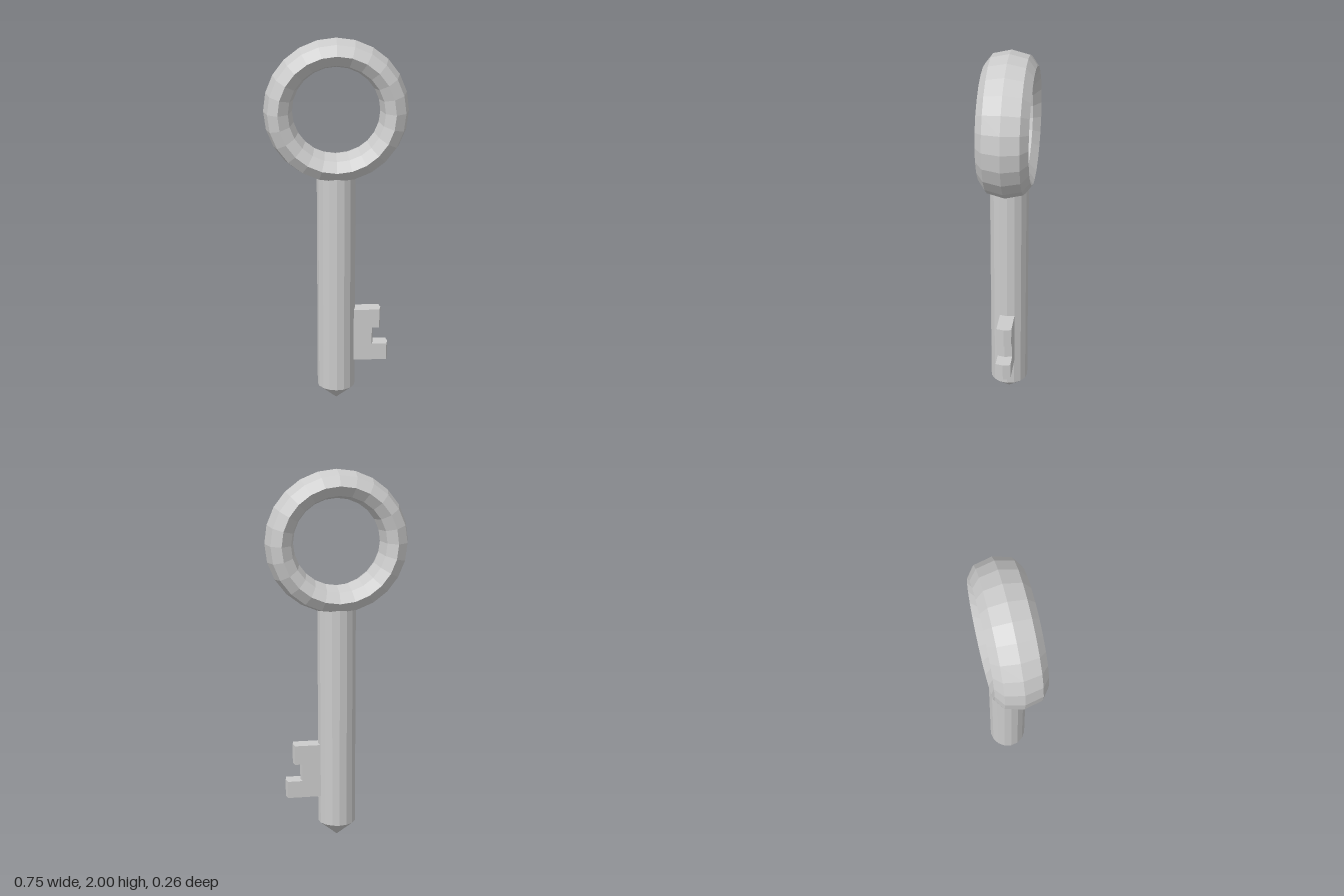
import * as THREE from 'three';

const material = new THREE.MeshStandardMaterial({ color: 0xcccccc, flatShading: true });

function addPart(parent, name, geometry, y = 0) {
  const mesh = new THREE.Mesh(geometry, material);
  mesh.name = name;
  mesh.position.y = y;
  parent.add(mesh);
  return mesh;
}

// One block of the key bit: flat sides, with an end that peaks along its middle
function toothGeometry(reach, height) {
  const half = 0.04, inner = 0.05, peak = 0.008;
  const section = new THREE.Shape([
    new THREE.Vector2(inner, -half),
    new THREE.Vector2(reach - peak, -half),
    new THREE.Vector2(reach, 0),
    new THREE.Vector2(reach - peak, half),
    new THREE.Vector2(inner, half),
  ]);
  return new THREE.ExtrudeGeometry(section, { depth: height, bevelEnabled: false }).rotateX(-Math.PI / 2);
}

export function createModel() {
  const key = new THREE.Group();
  key.name = 'key';

  // Handle ring: an eight-sided tube stretched front to back
  const ring = new THREE.TorusGeometry(0.301, 0.074, 8, 24).scale(1, 1, 1.78);
  addPart(key, 'handleRing', ring, 1.625);

  // Round shaft, its top end hidden inside the ring
  const radius = 0.102, tipHeight = 0.088, shaftTop = 1.32;
  const shaftHeight = shaftTop - tipHeight;
  addPart(key, 'shaft', new THREE.CylinderGeometry(radius, radius, shaftHeight, 16), tipHeight + shaftHeight / 2);

  // Pointed tip
  addPart(key, 'tip', new THREE.CylinderGeometry(radius, 0, tipHeight, 16), tipHeight / 2);

  // Key bit: two teeth with a notch between them
  const bit = new THREE.Group();
  bit.name = 'keyBit';
  for (const [name, reach, bottom, top] of [
    ['lowerTooth', 0.28, 0.242, 0.335],
    ['notchWeb', 0.2, 0.335, 0.43],
    ['upperTooth', 0.24, 0.43, 0.535],
  ]) addPart(bit, name, toothGeometry(reach, top - bottom), bottom);
  key.add(bit);

  return key;
}
